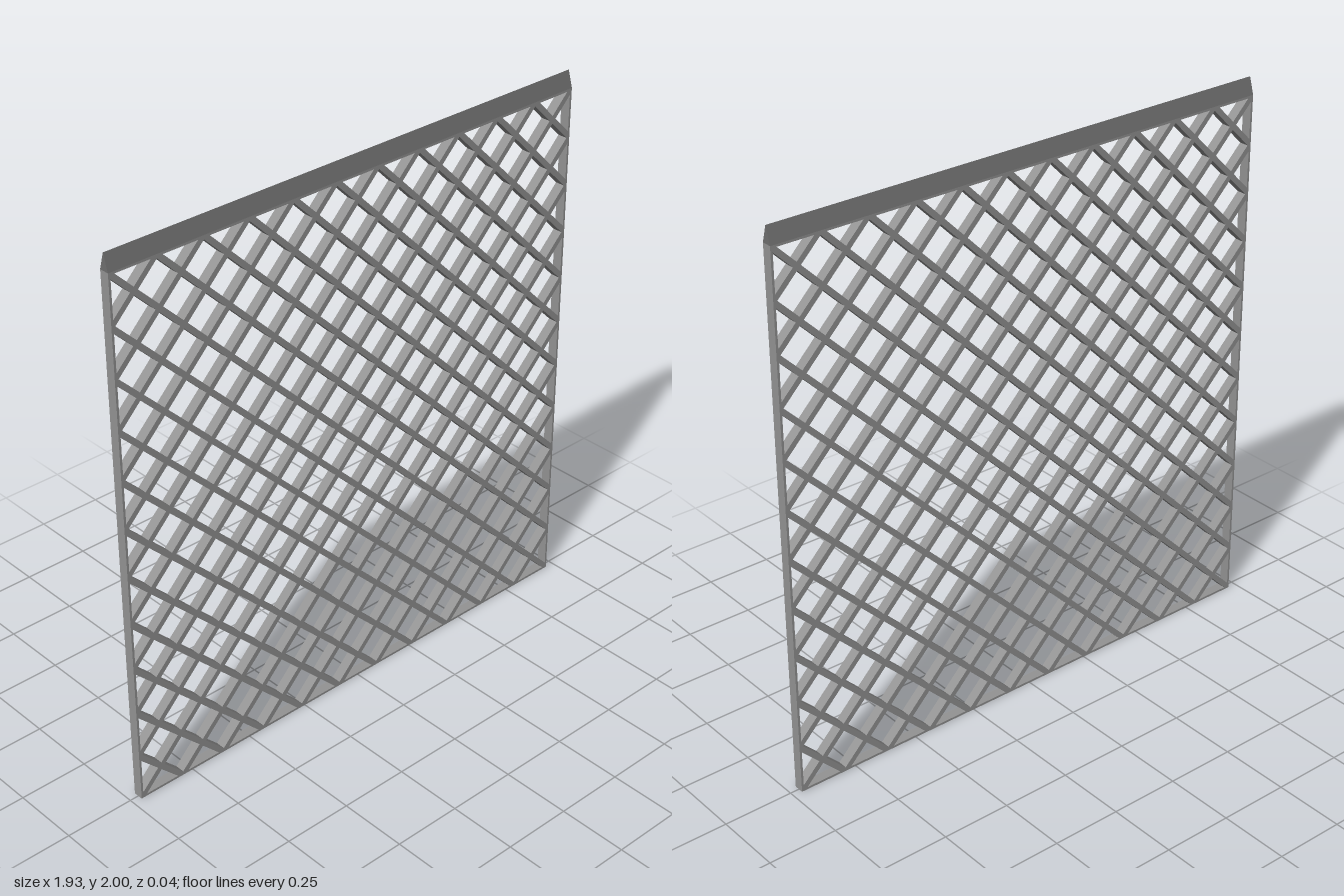
import * as THREE from 'three';

const HALF_W = 0.967;   // half width of the panel
const PANEL_H = 1.94;   // height of the lattice below the cap
const DEPTH = 0.036;
const CELLS = 11;       // crossed cells along each side
const BAR = 0.02;       // width of a diagonal bar
const FRAME = 0.008;    // width of the thin border

// Closed path from [x, y] points
const path = (pts) => new THREE.Path(pts.map(([x, y]) => new THREE.Vector2(x, y)));

// Keeps the part of a polygon where sign * (coordinate - limit) >= 0
function clip(pts, axis, limit, sign) {
  const out = [];
  pts.forEach((a, i) => {
    const b = pts[(i + 1) % pts.length];
    const da = sign * (a[axis] - limit), db = sign * (b[axis] - limit);
    if (da >= 0) out.push(a);
    if (da * db < 0) {
      const t = da / (da - db);
      out.push([a[0] + (b[0] - a[0]) * t, a[1] + (b[1] - a[1]) * t]);
    }
  });
  return out;
}

// Rectangle pierced by diamonds, which leaves the crossing diagonal bars
function latticeGeometry() {
  const shape = new THREE.Shape([
    new THREE.Vector2(-HALF_W, 0), new THREE.Vector2(HALF_W, 0),
    new THREE.Vector2(HALF_W, PANEL_H), new THREE.Vector2(-HALF_W, PANEL_H),
  ]);
  const sx = HALF_W * 2 / CELLS / 2, sy = PANEL_H / CELLS / 2;
  const rx = sx - BAR * Math.SQRT1_2, ry = sy - BAR * Math.SQRT1_2;
  for (let i = 0; i <= CELLS * 2; i++) {
    for (let j = 0; j <= CELLS * 2; j++) {
      if ((i + j) % 2 === 0) continue;
      const x = -HALF_W + i * sx, y = j * sy;
      let pts = [[x - rx, y], [x, y - ry], [x + rx, y], [x, y + ry]];
      // Border diamonds are cut off by the frame
      pts = clip(pts, 0, -HALF_W + FRAME, 1);
      pts = clip(pts, 0, HALF_W - FRAME, -1);
      pts = clip(pts, 1, FRAME, 1);
      pts = clip(pts, 1, PANEL_H - FRAME, -1);
      shape.holes.push(path(pts));
    }
  }
  const geo = new THREE.ExtrudeGeometry(shape, { depth: DEPTH, bevelEnabled: false });
  return geo.translate(0, 0, -DEPTH / 2);
}

// Triangular ridge running along the top
function capGeometry() {
  const h = DEPTH / 2;
  const tri = new THREE.Shape([
    new THREE.Vector2(-h, PANEL_H), new THREE.Vector2(h, PANEL_H), new THREE.Vector2(0, 2),
  ]);
  const geo = new THREE.ExtrudeGeometry(tri, { depth: HALF_W * 2, bevelEnabled: false });
  return geo.translate(0, 0, -HALF_W).rotateY(Math.PI / 2);
}

export function createModel() {
  const latticeGrey = new THREE.MeshStandardMaterial({ color: 0x949494 });
  latticeGrey.name = 'lattice grey';
  const capGrey = new THREE.MeshStandardMaterial({ color: 0x707070 });
  capGrey.name = 'cap grey';

  const group = new THREE.Group();
  group.name = 'latticePanel';
  const lattice = new THREE.Mesh(latticeGeometry(), latticeGrey);
  lattice.name = 'lattice';
  const cap = new THREE.Mesh(capGeometry(), capGrey);
  cap.name = 'topCap';
  group.add(lattice, cap);
  return group;
}
